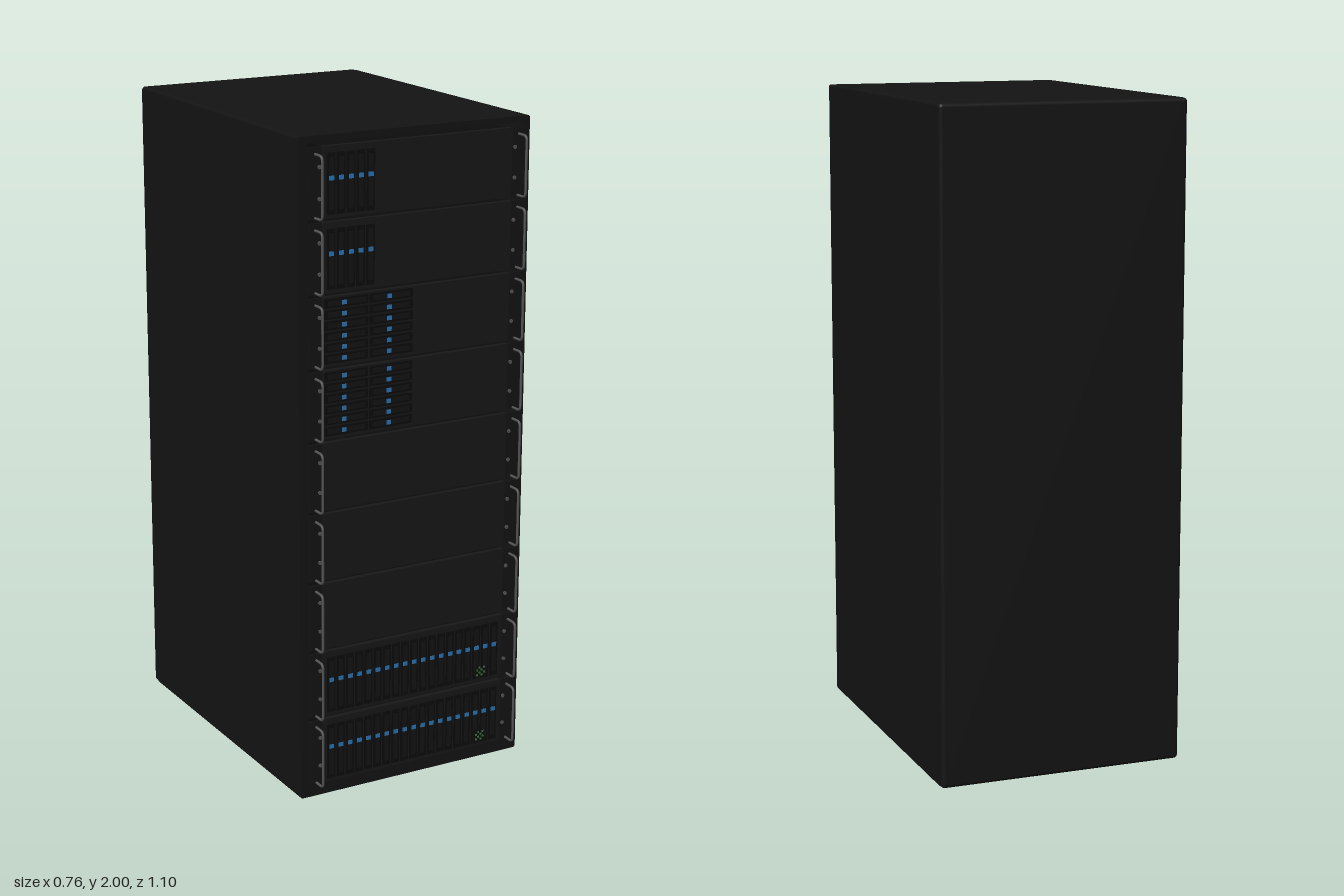
import * as THREE from 'three';
import { RoundedBoxGeometry } from 'three/addons/geometries/RoundedBoxGeometry.js';

const paint = (color) => new THREE.MeshStandardMaterial({ color });
const black = paint(0x141414);
const dark = paint(0x0c0c0c);
const panelMat = paint(0x181818);
const blue = paint(0x2a78b8);
const steel = paint(0x555555);
const green = paint(0x3c7a48);

function add(parent, name, geometry, material, x = 0, y = 0, z = 0) {
  const mesh = new THREE.Mesh(geometry, material);
  mesh.name = name;
  mesh.position.set(x, y, z);
  parent.add(mesh);
  return mesh;
}

const box = (w, h, d) => new THREE.BoxGeometry(w, h, d);

// Rounded rectangle outline, centred on the origin
function roundedRect(Type, w, h, r) {
  const p = new Type(), x = w / 2, y = h / 2;
  p.moveTo(-x + r, -y);
  p.lineTo(x - r, -y);
  p.quadraticCurveTo(x, -y, x, -y + r);
  p.lineTo(x, y - r);
  p.quadraticCurveTo(x, y, x - r, y);
  p.lineTo(-x + r, y);
  p.quadraticCurveTo(-x, y, -x, y - r);
  p.lineTo(-x, -y + r);
  p.quadraticCurveTo(-x, -y, -x + r, -y);
  return p;
}

// Open-fronted cabinet shell with a closed back
function makeCabinet() {
  const g = new THREE.Group();
  g.name = 'cabinet';
  const outline = roundedRect(THREE.Shape, 0.764, 2, 0.008);
  const hole = new THREE.Path();
  hole.moveTo(-0.352, -0.96);
  hole.lineTo(-0.352, 0.983);
  hole.lineTo(0.352, 0.983);
  hole.lineTo(0.352, -0.96);
  hole.closePath();
  outline.holes.push(hole);
  const shell = new THREE.ExtrudeGeometry(outline, { depth: 1.01, bevelEnabled: false, curveSegments: 4 });
  add(g, 'shell', shell, black, 0, 1, -0.52);
  add(g, 'backPanel', new RoundedBoxGeometry(0.764, 2, 0.06, 3, 0.012), black, 0, 1, -0.518);
  return g;
}

// Bow handle standing out from a mounting ear
const bow = new THREE.CurvePath();
const v = (y, z) => new THREE.Vector3(0, y, z);
bow.add(new THREE.LineCurve3(v(-0.09, 0.5), v(-0.09, 0.53)));
bow.add(new THREE.QuadraticBezierCurve3(v(-0.09, 0.53), v(-0.09, 0.545), v(-0.075, 0.545)));
bow.add(new THREE.LineCurve3(v(-0.075, 0.545), v(0.075, 0.545)));
bow.add(new THREE.QuadraticBezierCurve3(v(0.075, 0.545), v(0.09, 0.545), v(0.09, 0.53)));
bow.add(new THREE.LineCurve3(v(0.09, 0.53), v(0.09, 0.5)));
const handleGeo = new THREE.TubeGeometry(bow, 60, 0.004, 8, false);
const screwGeo = new THREE.CylinderGeometry(0.006, 0.006, 0.004, 10).rotateX(Math.PI / 2);

// Chassis, faceplate, ears and handles shared by every rack unit
function makeUnit(i) {
  const g = new THREE.Group();
  g.name = 'rackUnit' + (i + 1);
  add(g, 'chassis', box(0.62, 0.198, 0.9), dark, 0, 0, 0.04);
  add(g, 'faceplate', box(0.624, 0.204, 0.016), panelMat, 0, 0, 0.497);
  for (const s of [-1, 1]) {
    add(g, 'ear', box(0.042, 0.204, 0.006), black, s * 0.335, 0, 0.5);
    add(g, 'handle', handleGeo, steel, s * 0.336, -0.008, 0);
    for (const y of [-0.045, 0.045]) add(g, 'screw', screwGeo, steel, s * 0.323, y, 0.504);
  }
  return g;
}

// Drive caddy with a latch and a blue release tab
function addCaddy(unit, x, y, w, h, tabX, tabY) {
  const g = new THREE.Group();
  g.name = 'driveCaddy';
  g.position.set(x, y, 0.506);
  add(g, 'caddyFace', box(w, h, 0.004), dark);
  const tall = h > w;
  add(g, 'latch', tall ? box(w * 0.5, h * 0.85, 0.002) : box(w * 0.85, h * 0.5, 0.002), black, 0, 0, 0.0025);
  add(g, 'releaseTab', box(0.015, 0.013, 0.003), blue, tabX, tabY, 0.003);
  unit.add(g);
}

function addVerticalBays(unit, count) {
  for (let k = 0; k < count; k++) addCaddy(unit, -0.287 + k * 0.0317, -0.004, 0.027, 0.175, 0, 0.016);
}

function addHorizontalBays(unit) {
  for (const x of [-0.238, -0.09])
    for (let k = 0; k < 6; k++) addCaddy(unit, x, -0.079 + k * 0.0325, 0.142, 0.027, -0.008, 0);
}

// Small status display made of a grid of lamps
function addStatusLamps(unit) {
  const g = new THREE.Group();
  g.name = 'statusDisplay';
  g.position.set(0.234, -0.066, 0.511);
  add(g, 'displayPlate', box(0.034, 0.036, 0.003), dark);
  for (let r = 0; r < 4; r++)
    for (let c = 0; c < 4; c++)
      if ((r + c) % 2 === 0) add(g, 'lamp', box(0.006, 0.006, 0.002), green, -0.012 + c * 0.008, -0.012 + r * 0.008, 0.002);
  unit.add(g);
}

export function createModel() {
  const model = new THREE.Group();
  model.name = 'serverRack';
  model.add(makeCabinet());

  // Nine units stacked from the bottom up
  for (let i = 0; i < 9; i++) {
    const unit = makeUnit(i);
    unit.position.y = 0.147 + i * 0.2152;
    if (i < 2) {
      addVerticalBays(unit, 19);
      addStatusLamps(unit);
    } else if (i === 5 || i === 6) {
      addHorizontalBays(unit);
    } else if (i > 6) {
      addVerticalBays(unit, 5);
    }
    model.add(unit);
  }
  return model;
}
